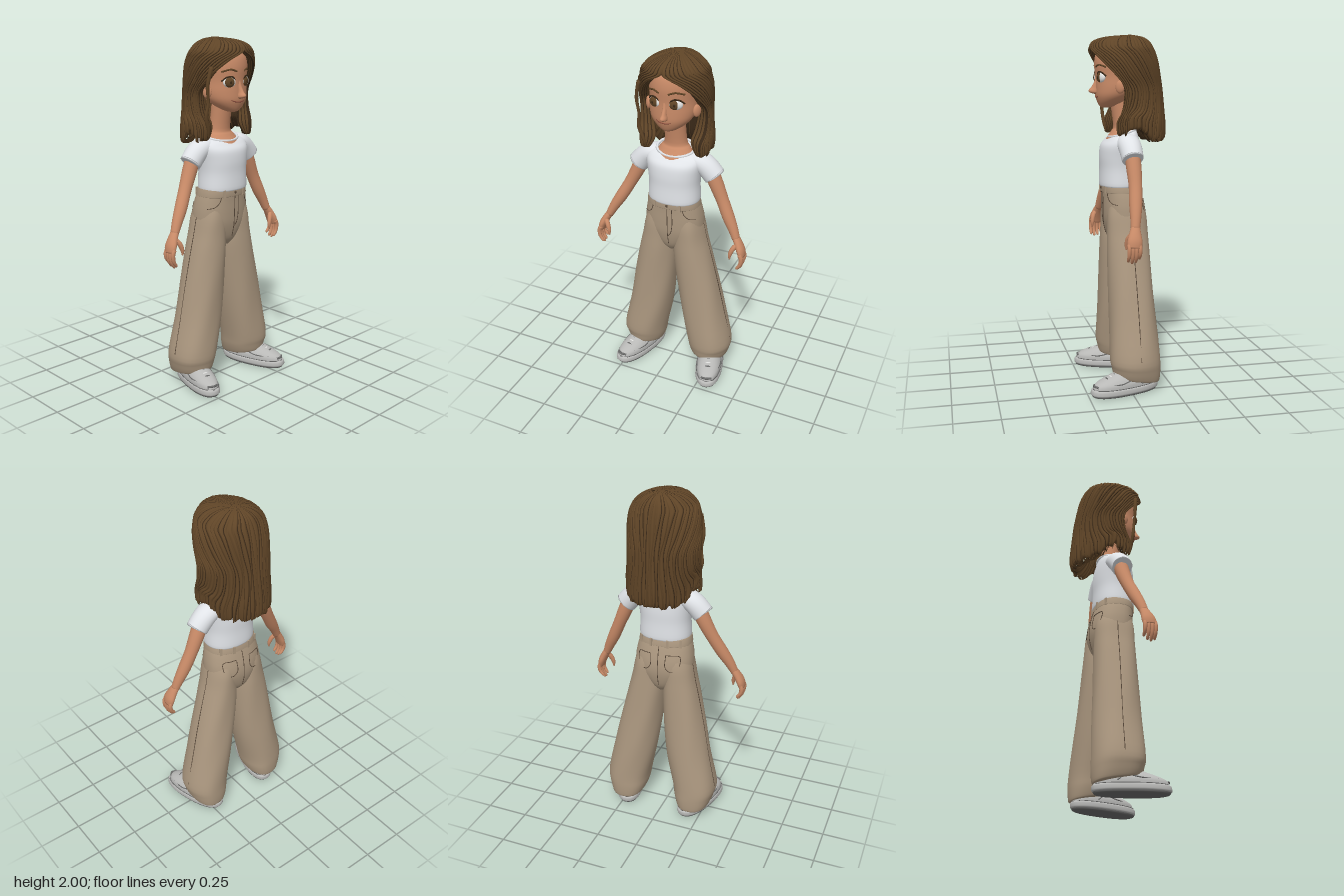
import * as THREE from 'three';

const paint = (name, color) => Object.assign(new THREE.MeshStandardMaterial({ color }), { name });
const M = {
  skin: paint('skin', 0xc88a67), hair: paint('hair brown', 0x604527), groove: paint('hair groove', 0x3a2918),
  shirt: paint('shirt white', 0xe2e5e9), trousers: paint('trousers tan', 0xac9880), line: paint('seam dark', 0x5c4c3d),
  shoe: paint('shoe grey', 0xb9b9b7), sole: paint('sole grey', 0x6c6c6b), eye: paint('eye white', 0xe6e6e4),
  lip: paint('lip', 0x8a4c3c),
};
const V = (x, y, z) => new THREE.Vector3(x, y, z);
const hash = (n) => { const v = Math.sin(n * 127.1 + 11.7) * 43758.5453; return v - Math.floor(v); };
const pow = (v, e) => Math.sign(v) * Math.abs(v) ** e;

// Catmull-Rom interpolation of rows of numbers
function refine(rows, n) {
  const out = [], last = rows.length - 1;
  for (let i = 0; i < last; i++) {
    const [a, b, c, d] = [rows[Math.max(i - 1, 0)], rows[i], rows[i + 1], rows[Math.min(i + 2, last)]];
    for (let k = 0; k < n; k++) {
      const t = k / n;
      out.push(b.map((v, j) => {
        const cubic = 3 * (v - c[j]) + d[j] - a[j], square = 2 * a[j] - 5 * v + 4 * c[j] - d[j];
        return v + 0.5 * t * (c[j] - a[j] + t * (square + t * cubic));
      }));
    }
  }
  return [...out, rows[last]];
}

// Joins closed rings into a surface; darkAt picks columns that take a second material
function skinRings(name, mat, rings, { capStart = true, darkAt } = {}) {
  const n = rings[0].length, pos = [], lists = [[], []];
  rings.forEach((r) => r.forEach((p) => pos.push(p.x, p.y, p.z)));
  for (let j = 0; j < rings.length - 1; j++) for (let i = 0; i < n; i++) {
    const a = j * n + i, b = j * n + (i + 1) % n, c = a + n, d = b + n;
    lists[darkAt && darkAt(i) ? 1 : 0].push(a, c, b, b, c, d);
  }
  const cap = (ring, start, flip) => {
    const m = ring.reduce((s, p) => s.add(p), V(0, 0, 0)).divideScalar(n), k = pos.length / 3;
    pos.push(m.x, m.y, m.z);
    for (let i = 0; i < n; i++) {
      const a = start + i, b = start + (i + 1) % n;
      lists[0].push(k, flip ? b : a, flip ? a : b);
    }
  };
  if (capStart) cap(rings[0], 0, false);
  cap(rings[rings.length - 1], (rings.length - 1) * n, true);
  const g = new THREE.BufferGeometry();
  g.setAttribute('position', new THREE.Float32BufferAttribute(pos, 3));
  g.setIndex(lists.flat());
  if (darkAt) { g.addGroup(0, lists[0].length, 0); g.addGroup(lists[0].length, lists[1].length, 1); }
  g.computeVertexNormals();
  const mesh = new THREE.Mesh(g, mat);
  mesh.name = name;
  return mesh;
}

// Sections [x, y, z, rx, rz, tilt]; rings lie level, or across the path when along is true
function loft(name, mat, secs, { seg = 28, along = false, exp = 1, sub = 4, fold = 0 } = {}) {
  const rows = refine(secs.map((s) => [...s, 0].slice(0, 6)), sub);
  const rings = rows.map(([x, y, z, rx, rz, tilt], j) => {
    const p = rows[Math.max(j - 1, 0)], q = rows[Math.min(j + 1, rows.length - 1)];
    const T = along ? V(q[0] - p[0], q[1] - p[1], q[2] - p[2]).normalize() : V(0, 1, 0);
    const u = T.clone().cross(V(0, 0, 1)).normalize(), v = u.clone().cross(T);
    return Array.from({ length: seg }, (_, i) => {
      const a = (i / seg) * Math.PI * 2, f = 1 + fold * Math.sin(5 * a + y * 9);
      return V(x, y + tilt * Math.sin(a), z).addScaledVector(u, pow(Math.cos(a), exp) * rx * f).addScaledVector(v, pow(Math.sin(a), exp) * rz * f);
    });
  });
  return skinRings(name, mat, rings);
}
function tube(name, mat, pts, r, closed = false) {
  const m = new THREE.Mesh(new THREE.TubeGeometry(new THREE.CatmullRomCurve3(pts, closed), 20, r, 6, closed), mat);
  m.name = name;
  return m;
}
function ball(name, mat, x, y, z, sx, sy, sz, ry = 0) {
  const m = new THREE.Mesh(new THREE.SphereGeometry(1, 24, 16), mat);
  m.position.set(x, y, z); m.scale.set(sx, sy, sz); m.rotation.y = ry; m.name = name;
  return m;
}

function makeHair() {
  // Rows [y, half width, front depth, back depth, face opening angle, inner scale, z shift]
  const rows = refine([
    [1.415, .19, .10, .225, 1.05, .96, 0], [1.43, .204, .12, .242, 1.02, .78, 0], [1.5, .205, .13, .245, 1.05, .6, 0],
    [1.6, .2, .125, .236, 1.34, .64, 0], [1.7, .2, .13, .226, 1.4, .72, 0], [1.78, .2, .15, .214, 1.05, .78, 0],
    [1.84, .197, .17, .204, .74, .8, 0], [1.89, .187, .18, .191, .42, .82, 0], [1.93, .168, .178, .176, .02, .82, 0],
    [1.965, .13, .162, .15, 0, .8, -.005], [1.988, .08, .11, .1, 0, .8, -.02], [2, .012, .015, .015, 0, .8, -.05]], 4);
  const clumps = 44, ts = [];
  for (let k = 0; k < clumps; k++) for (const o of [0, .1, .2, .6]) ts.push((k + o) / clumps);
  ts.push(1);
  const N = ts.length, edge = [.18, .26, .44, .52, .74, .82];
  const rings = rows.map(([y, rx, rf, rb, open, inner, dz]) => {
    const th = Math.max(open, 0), low = THREE.MathUtils.smoothstep(1.62 - y, 0, .18);
    const point = (i, scale) => {
      const k = Math.floor(i / 4), wave = .02 * Math.sin(y * 16 + k * 2.3) * Math.sin(Math.PI * ts[i]);
      const phi = THREE.MathUtils.lerp(Math.PI * 2 - th, th, ts[i]) + wave;
      const side = Math.min(phi, Math.PI * 2 - phi), c = Math.cos(phi);
      const f = scale * (i % 4 === 1 ? .955 : i % 4 === 3 ? 1.012 + .03 * hash(k) : 1);
      const drop = low * (.07 * Math.exp(-(((side - 1.75) / .35) ** 2)) + .03 * hash(k + 50) + (side < 1.4 ? .025 : 0) - .018);
      return V(.014 + Math.sin(phi) * rx * f, y + drop, dz + c * (c > 0 ? rf : rb) * f);
    };
    const outside = ts.map((_, i) => point(i, 1)), inside = ts.map((_, i) => point(N - 1 - i, inner));
    const between = (i, list) => list.map((e) => point(i, 1 + (inner - 1) * e));
    return [...outside, ...between(N - 1, edge), ...inside, ...between(0, edge.map((e) => 1 - e))];
  });
  // Narrow columns become dark grooves, also on the edges that frame the face
  const darkAt = (i) => {
    if (i < N) return i % 4 < 2 && hash(Math.floor(i / 4) + 9) > .35;
    const rim = i < N + 6 ? i - N : i - 2 * N - 6;
    return rim < 0 ? i % 4 < 2 : rim % 2 === 0;
  };
  const g = new THREE.Group();
  g.name = 'hair';
  g.add(skinRings('hairShell', [M.hair, M.groove], rings, { capStart: false, darkAt }));
  g.add(loft('looseLock', M.hair, [[-.14, 1.46, .062, .003, .003], [-.15, 1.51, .07, .01, .009], [-.172, 1.58, .075, .012, .01],
    [-.165, 1.66, .085, .008, .008], [-.175, 1.75, .09, .01, .01], [-.155, 1.85, .1, .012, .012]], { along: true, seg: 8 }));
  return g;
}

function makeHead() {
  const g = new THREE.Group(), cx = .013;
  g.name = 'head';
  g.add(loft('face', M.skin, [[cx, 1.597, .09, .02, .02], [cx, 1.605, .08, .044, .045], [cx, 1.63, .06, .084, .078], [cx, 1.665, .038, .116, .11],
    [cx, 1.71, .018, .131, .131], [cx, 1.77, .01, .132, .138], [cx, 1.85, .005, .138, .148], [cx, 1.92, 0, .12, .13], [cx, 1.96, -.02, .06, .07]], { seg: 36 }));
  g.add(loft('neck', M.skin, [[.014, 1.39, .01, .12, .092], [.014, 1.43, .003, .11, .077], [.012, 1.465, -.006, .085, .062], [.012, 1.5, -.01, .064, .055], [.012, 1.65, .01, .058, .058]]));
  g.add(loft('nose', M.skin, [[.016, 1.672, .145, .008, .008], [.016, 1.68, .155, .019, .026], [.016, 1.692, .157, .019, .032], [.016, 1.71, .148, .014, .026], [.015, 1.74, .143, .012, .014], [.014, 1.78, .138, .01, .008]], { seg: 16 }));
  g.add(tube('mouth', M.lip, [V(-.038, 1.666, .134), V(-.01, 1.656, .144), V(.025, 1.655, .145), V(.055, 1.663, .136), V(.07, 1.676, .131)], .0035));
  for (const s of [-1, 1]) {
    const x = cx + s * .06, turn = s * .38;
    g.add(ball('eyeWhite', M.eye, x, 1.764, .127, .037, .029, .017, turn));
    g.add(ball('iris', M.hair, x - .004, 1.764, .133, .029, .027, .0145, turn));
    g.add(ball('pupil', M.groove, x - .004, 1.764, .1395, .012, .013, .0095, turn));
    g.add(tube('upperLash', M.groove, [V(x - s * .034, 1.772, .139), V(x - s * .01, 1.793, .142), V(x + s * .02, 1.792, .13), V(x + s * .042, 1.77, .107)], .0045));
    g.add(tube('brow', M.hair, [V(x - s * .035, 1.822, .15), V(x, 1.833, .14), V(x + s * .042, 1.82, .106)], .0055));
    g.add(ball('ear', M.skin, cx + s * .142, 1.712, .038, .014, .036, .026, -s * .5));
  }
  return g;
}

// Arm with sleeve and hand; reach swings the hand forward
function makeArm(s) {
  const g = new THREE.Group(), reach = s < 0 ? .045 : 0;
  const X = (x, y) => s * x + .015 * THREE.MathUtils.smoothstep(y, .9, 1.3);
  const Z = (y, z) => z + reach * THREE.MathUtils.smoothstep(1.4 - y, 0, .45);
  const limb = (name, mat, pts, seg = 14) => loft(name, mat, pts.map(([x, y, z, a, b]) => [X(x, y), y, Z(y, z), a, b]), { along: true, seg });
  g.name = s > 0 ? 'leftArm' : 'rightArm';
  g.add(limb('sleeve', M.shirt, [[.09, 1.41, -.01, .04, .06], [.14, 1.4, -.01, .055, .066], [.185, 1.37, -.012, .061, .064], [.226, 1.325, -.013, .062, .06], [.228, 1.323, -.013, .06, .058], [.222, 1.329, -.013, .046, .046]], 24));
  g.add(limb('arm', M.skin, [[.2, 1.36, -.015, .044, .044], [.24, 1.27, -.017, .041, .042], [.282, 1.18, -.016, .036, .037], [.327, 1.09, -.008, .035, .036], [.365, 1.02, 0, .029, .03], [.393, .96, .008, .022, .025]], 18));
  g.add(limb('palm', M.skin, [[.385, .975, .005, .021, .024], [.408, .94, .012, .022, .032], [.428, .9, .018, .022, .041], [.437, .865, .022, .017, .038]], 18));
  for (let k = 0; k < 4; k++) {
    const z = -.008 + k * .02, len = [.058, .075, .08, .07][k];
    g.add(limb('finger', M.skin, [[.432, .885, z, .012, .011], [.442, .86, z, .0125, .011], [.438, .865 - len * .6, z, .011, .01], [.42, .865 - len, z, .008, .008], [.413, .86 - len, z, .003, .003]], 10));
  }
  g.add(limb('thumb', M.skin, [[.405, .935, .03, .014, .014], [.387, .91, .045, .014, .014], [.375, .875, .052, .011, .011], [.374, .845, .053, .004, .004]], 10));
  return g;
}

function makeShoe(s) {
  const g = new THREE.Group();
  g.name = s > 0 ? 'leftShoe' : 'rightShoe';
  g.add(loft('outsole', M.sole, [[0, 0, 0, .068, .185], [0, .004, 0, .075, .197], [0, .014, 0, .078, .202]], { exp: .85 }));
  g.add(loft('midsole', M.shoe, [[0, .012, 0, .078, .202], [0, .02, 0, .083, .208], [0, .04, -.002, .082, .207], [0, .048, -.003, .076, .199]], { exp: .85 }));
  g.add(loft('upper', M.shoe, [[0, .044, -.003, .076, .199], [0, .068, -.006, .075, .192], [0, .088, -.018, .068, .17], [0, .112, -.045, .057, .13], [0, .14, -.07, .045, .085]], { exp: .9 }));
  g.add(tube('midsoleGroove', M.sole, Array.from({ length: 16 }, (_, i) => {
    const a = i / 16 * Math.PI * 2;
    return V(pow(Math.cos(a), .85) * .077, .048, -.003 + pow(Math.sin(a), .85) * .2);
  }), .0025, true));
  // Laces cross the instep, then a bumper at the toe and seams on the sides
  for (let k = 0; k < 4; k++) {
    const z = .115 - k * .025, y = .096 + k * .008;
    g.add(tube('lace', k % 2 ? M.eye : M.sole, [V(-.045, y - .014, z - .008), V(0, y + .003, z), V(.045, y - .014, z - .008)], .0055));
  }
  g.add(tube('toeBumper', M.sole, [V(-.03, .062, .176), V(0, .066, .19), V(.03, .062, .176)], .007));
  for (const e of [-1, 1]) g.add(tube('sidePanelEdge', M.sole, [V(e * .05, .072, .13), V(e * .071, .075, .05), V(e * .067, .088, -.03), V(e * .072, .06, -.08)], .0035));
  g.position.set(.028 + s * .237, 0, .037);
  g.rotation.y = s * .27;
  return g;
}

function makeTrousers() {
  const g = new THREE.Group();
  g.name = 'trousers';
  const hips = [[.01, .825, -.012, .03, .07], [.01, .87, -.013, .09, .1], [.01, .95, -.013, .165, .119], [.01, 1.02, -.01, .172, .121], [.01, 1.09, -.002, .162, .114], [.01, 1.14, .006, .149, .108], [.01, 1.17, .008, .145, .105]];
  g.add(loft('hips', M.trousers, hips, { exp: .85, seg: 36 }));
  g.add(loft('waistband', M.trousers, [[.01, 1.118, .004, .153, .11], [.01, 1.122, .004, .157, .114], [.01, 1.16, .008, .15, .11], [.01, 1.166, .008, .145, .105]], { exp: .85, seg: 36, sub: 1 }));
  // Finds the front (1) or back (-1) of the hips at x, y
  const rows = refine(hips, 12);
  const on = (x, y, side, lift) => {
    const r = rows.reduce((a, b) => (Math.abs(b[1] - y) < Math.abs(a[1] - y) ? b : a));
    const c = Math.min(Math.abs((x - r[0]) / r[3]) ** (1 / .85), .999);
    return V(x, y, r[2] + side * (r[4] * (1 - c * c) ** .425 + lift));
  };
  const seam = (name, pts, side) => g.add(tube(name, M.line, pts.map(([x, y]) => on(x, y, side, .002)), .0022));
  seam('fly', [[.012, 1.12], [.012, 1.05], [.012, .95], [.012, .88]], 1);
  seam('flyStitch', [[.04, 1.12], [.042, 1.02], [.03, .96], [.014, .94]], 1);
  seam('backSeam', [[.01, 1.12], [.01, 1.05], [.01, .95], [.01, .88]], -1);
  g.add(ball('button', M.line, .012, 1.142, .12, .008, .008, .004));
  for (const s of [-1, 1]) {
    seam('frontPocket', [[.01 + s * .09, 1.12], [.01 + s * .1, 1.09], [.01 + s * .125, 1.065], [.01 + s * .155, 1.055]], 1);
    seam('backPocket', [[.045, 1.075], [.047, 1.0], [.08, .975], [.118, 1.0], [.122, 1.07], [.085, 1.074], [.045, 1.075]].map(([x, y]) => [.01 + s * x, y]), -1);
    for (const [x, side] of [[.075, 1], [.05, -1], [.12, -1]]) {
      const loop = new THREE.Mesh(new THREE.BoxGeometry(.014, .046, .008), M.trousers);
      loop.position.copy(on(.01 + s * x, 1.138, side, .006));
      loop.rotation.y = side * s * x * 3;
      loop.name = 'beltLoop';
      g.add(loop);
    }
    // Leg from hem to hip, flaring at the shin and gathered at the hem
    const leg = [[.216, .075, -.037, .094, .122, .022], [.216, .08, -.037, .104, .132, .022], [.216, .13, -.034, .121, .139, .012], [.214, .2, -.028, .131, .142], [.172, .4, -.025, .13, .134],
      [.139, .6, -.02, .123, .126], [.109, .8, -.015, .108, .12], [.098, .9, -.013, .094, .116], [.089, 1.0, -.01, .083, .111], [.075, 1.09, -.004, .07, .09]]
      .map(([x, y, ...r]) => [.01 + .012 * THREE.MathUtils.smoothstep(1 - y, 0, .7) + s * x, y, ...r]);
    g.add(loft('leg', M.trousers, leg, { seg: 36, exp: .9, fold: .012 }));
    g.add(tube('sideSeam', M.line, leg.slice(3, 9).map(([x, y, z, rx]) => V(x + s * rx, y, z - .01)), .0022));
  }
  return g;
}

export function createModel() {
  const model = new THREE.Group();
  model.name = 'standingGirl';
  model.add(makeHair(), makeHead(), makeTrousers());
  // T-shirt body and scooped collar
  model.add(loft('shirt', M.shirt, [[.014, 1.155, .01, .14, .107], [.014, 1.162, .01, .151, .117], [.014, 1.25, .01, .148, .114], [.014, 1.32, .01, .155, .115],
    [.014, 1.38, .008, .165, .109], [.014, 1.42, 0, .165, .092, -.008], [.014, 1.443, -.005, .14, .079, -.014], [.014, 1.452, -.006, .112, .073, -.022], [.014, 1.43, -.006, .1, .06, -.02]], { seg: 36, exp: .9 }));
  model.add(tube('collar', M.shirt, Array.from({ length: 16 }, (_, i) => {
    const a = i / 16 * Math.PI * 2;
    return V(.014 + .11 * Math.cos(a), 1.455 - .024 * Math.sin(a), -.004 + .077 * Math.sin(a));
  }), .008, true));
  for (const s of [-1, 1]) model.add(makeArm(s), makeShoe(s));
  return model;
}
